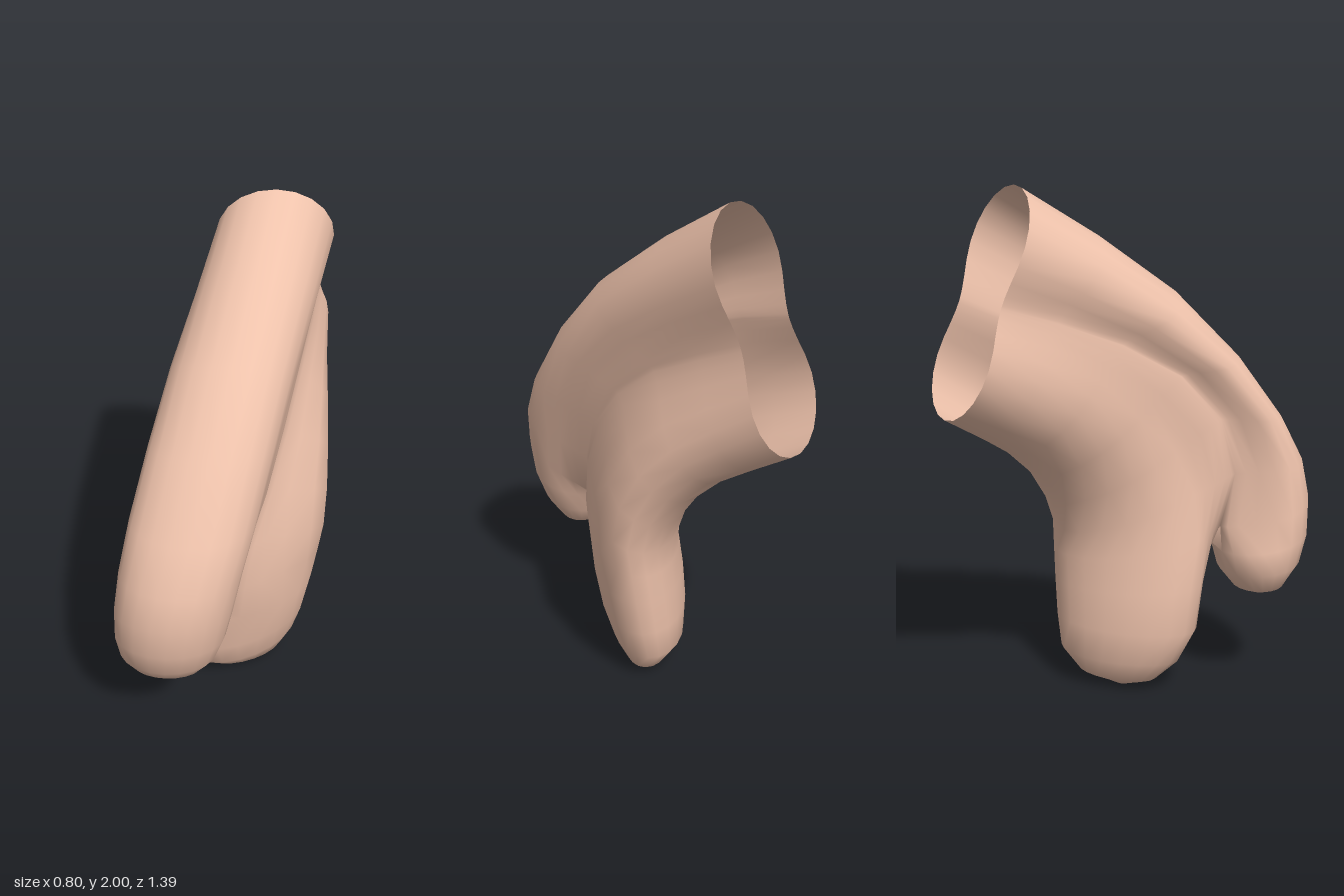
import * as THREE from 'three';
import { mergeVertices } from 'three/addons/utils/BufferGeometryUtils.js';

const { lerp } = THREE.MathUtils;
const STEPS = 10;         // points along each side of a cross-section
const RING = STEPS * 2 + 1;
const SPLIT = 6;          // station where the trunk parts into two lobes

// Valley shared by both lobes: z, y, centre x, half width, skew between its two sides
const valley = [
  [-0.54, 1.57, 0.16, 0.175, 0], [-0.35, 1.5, 0.125, 0.185, 0.015], [-0.12, 1.4, 0.075, 0.19, 0.03],
  [0.09, 1.26, 0.025, 0.19, 0.05], [0.235, 1.08, -0.025, 0.185, 0.06], [0.305, 0.87, -0.07, 0.165, 0.045],
  [0.315, 0.66, -0.07, 0.1, 0.015],
];

// Lobe stations: outer z, outer y, centre x, half width
// and, past the split, the inner edge: z, y
const frontLobe = [
  [-0.39, 2.0, 0.16, 0.222], [-0.1, 1.82, 0.098, 0.225], [0.2, 1.6, 0.025, 0.228],
  [0.43, 1.35, -0.04, 0.23], [0.6, 1.1, -0.1, 0.23], [0.68, 0.93, -0.145, 0.225],
  [0.7, 0.79, -0.175, 0.22],
  [0.69, 0.65, -0.19, 0.21, 0.325, 0.57], [0.65, 0.53, -0.2, 0.185, 0.345, 0.48],
  [0.58, 0.435, -0.205, 0.13, 0.405, 0.405], [0.5, 0.388, -0.205, 0.05, 0.46, 0.386],
];
const rearLobe = [
  [-0.695, 1.15, 0.16, 0.222], [-0.54, 1.06, 0.15, 0.23], [-0.41, 0.98, 0.14, 0.247],
  [-0.3, 0.88, 0.13, 0.263], [-0.22, 0.76, 0.12, 0.275], [-0.18, 0.64, 0.1, 0.288],
  [-0.18, 0.54, 0.08, 0.29],
  [-0.185, 0.42, 0.065, 0.285, 0.275, 0.45], [-0.19, 0.27, 0.053, 0.268, 0.245, 0.26],
  [-0.185, 0.14, 0.06, 0.225, 0.19, 0.13], [-0.12, 0.045, 0.07, 0.16, 0.11, 0.045],
  [-0.03, 0.005, 0.08, 0.06, 0.01, 0.005],
];

// Adds one lobe: C-shaped sections along the trunk, closed loops past the split.
// twist leans the section's long axis, growing down the trunk.
function addLobe(stations, twist, flip, positions, indices) {
  const base = positions.length / 3;
  stations.forEach(([oz, oy, cx, half, iz, iy], s) => {
    const trunk = s <= SPLIT;
    const [vz, vy, vx, waist, skew] = trunk ? valley[s] : [iz, iy, cx, 0, 0];
    const round = trunk ? Math.max(0, (s - 4) / 4) : 1;
    const lean = twist * Math.min(1, s / SPLIT);
    for (let k = 0; k < RING; k++) {
      const side = k <= STEPS ? 1 : -1;
      const a = Math.PI * (k <= STEPS ? k / STEPS : (RING - k - 1) / STEPS);
      const u = (1 - Math.cos(a)) / 2;
      const sin = Math.sin(a);
      let width = half * sin;
      let mid = cx;
      if (u < 0.5) {
        const soft = Math.sin(Math.PI * u) ** 2;
        const swell = lerp(soft, sin, round);
        width = lerp(waist, half, swell);
        mid = lerp(vx, cx, swell);
      }
      const leaned = 0.5 - 0.5 * Math.cos(a) * Math.cos(lean) + 0.5 * side * sin * Math.sin(lean);
      const along = lerp(u, leaned, trunk ? Math.min(1, 2 * u) : 1);
      positions.push(
        mid + side * width,
        lerp(vy - side * skew * 0.5, oy, along),
        lerp(vz - side * skew, oz, along),
      );
    }
  });
  const tri = (a, b, c) => (flip ? indices.push(a, c, b) : indices.push(a, b, c));
  for (let s = 0; s < stations.length - 1; s++) {
    const count = s >= SPLIT ? RING : RING - 1;
    for (let k = 0; k < count; k++) {
      const a = base + s * RING + k;
      const b = base + s * RING + ((k + 1) % RING);
      tri(a, b, a + RING);
      tri(b, b + RING, a + RING);
    }
  }
  // Small cap at the tip
  const last = base + (stations.length - 1) * RING;
  for (let k = 1; k < RING - 1; k++) tri(last, last + k, last + k + 1);
}

export function createModel() {
  const positions = [];
  const indices = [];
  addLobe(frontLobe, 0, false, positions, indices);
  addLobe(rearLobe, 0.5, true, positions, indices);

  // Weld the lobes along the valley so the shading runs smoothly across it
  let geometry = new THREE.BufferGeometry();
  geometry.setAttribute('position', new THREE.Float32BufferAttribute(positions, 3));
  geometry.setIndex(indices);
  geometry = mergeVertices(geometry, 1e-4);
  geometry.computeVertexNormals();

  const skin = new THREE.MeshStandardMaterial({ color: 0xeec2ab, side: THREE.DoubleSide });
  const shell = new THREE.Mesh(geometry, skin);
  shell.name = 'forkedOpenShell';
  const group = new THREE.Group();
  group.name = 'twoLobedTube';
  group.add(shell);
  return group;
}
